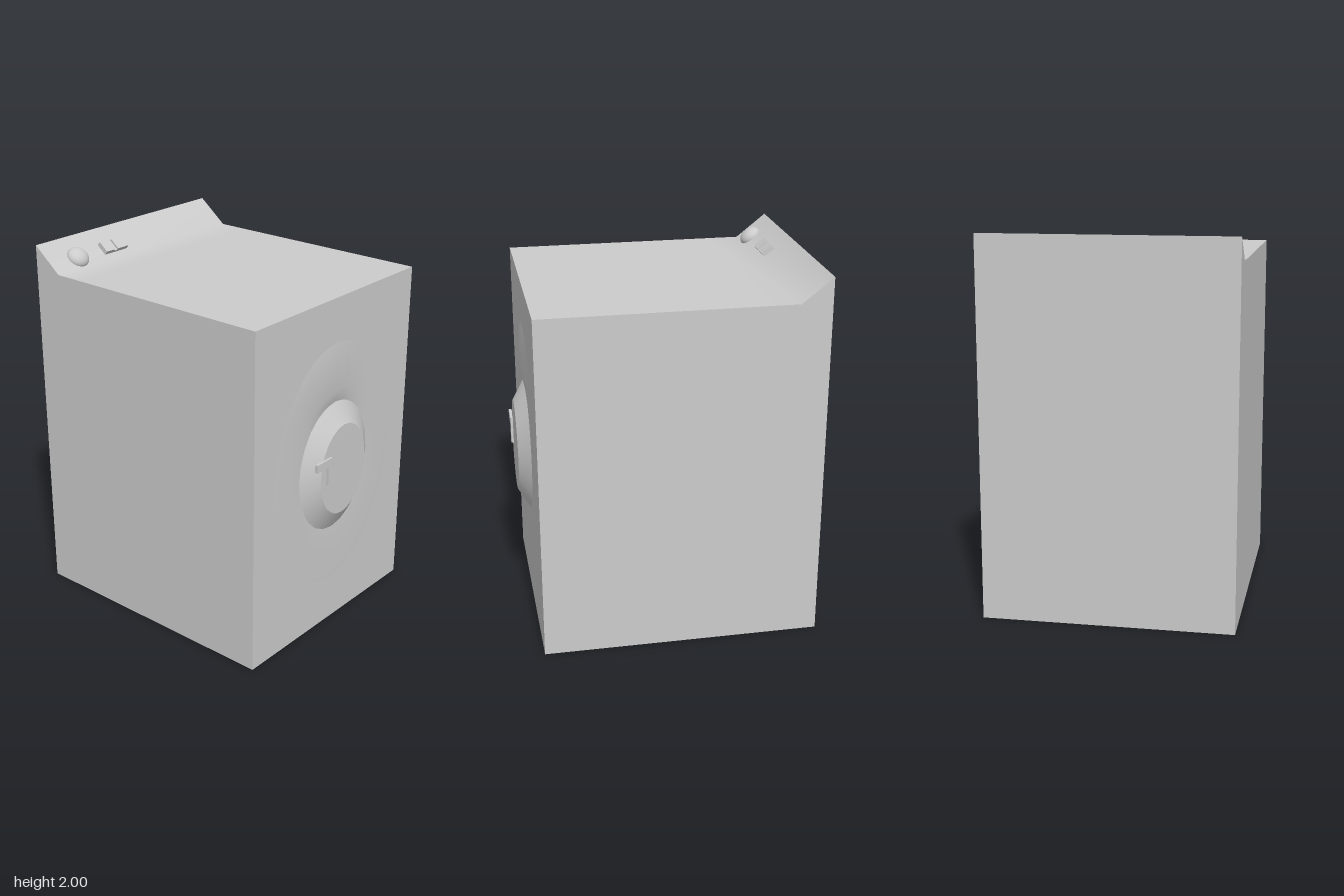
import * as THREE from 'three';
import { toCreasedNormals } from 'three/addons/utils/BufferGeometryUtils.js';

const FRONT = 0.708;
const DOOR_Y = 0.94;
const material = new THREE.MeshStandardMaterial({ color: 0xcccccc });
const panelMaterial = new THREE.MeshStandardMaterial({ color: 0xcccccc, side: THREE.DoubleSide });

function add(parent, name, geometry, x = 0, y = 0, z = 0, mat = material) {
  const mesh = new THREE.Mesh(geometry, mat);
  mesh.name = name;
  mesh.position.set(x, y, z);
  parent.add(mesh);
  return mesh;
}

// Surface through a list of loops, each loop(angle) returning [x, y, z]
function loft(loops, segments) {
  const positions = [], index = [];
  for (const loop of loops)
    for (let i = 0; i <= segments; i++) positions.push(...loop((i / segments) * Math.PI * 2));
  const row = segments + 1;
  for (let r = 0; r < loops.length - 1; r++)
    for (let i = 0; i < segments; i++) {
      const a = r * row + i, b = a + row;
      index.push(a, a + 1, b, a + 1, b + 1, b);
    }
  const geometry = new THREE.BufferGeometry();
  geometry.setAttribute('position', new THREE.Float32BufferAttribute(positions, 3));
  geometry.setIndex(index);
  return toCreasedNormals(geometry, 0.7);
}

const ellipse = (rx, ry, depth) => (t) =>
  [rx * Math.sin(t), ry * Math.cos(t), typeof depth === 'function' ? depth(t) : depth];

export function createModel() {
  const model = new THREE.Group();
  model.name = 'washingMachine';

  // Cabinet: side profile (z, y) swept across the width, blending into the control panel
  const profile = [[FRONT, 0], [FRONT, 1.87], [-0.45, 1.87], [-0.62, 1.87], [-0.784, 2], [-0.784, 0]];
  const shape = new THREE.Shape(profile.map(([z, y]) => new THREE.Vector2(-z, y)));
  const cabinet = new THREE.ExtrudeGeometry(shape, { depth: 1.32, bevelEnabled: false });
  cabinet.translate(0, 0, -0.66);
  cabinet.rotateY(Math.PI / 2);
  add(model, 'cabinet', toCreasedNormals(cabinet, 0.75));

  // Shallow swelling of the front panel, highest above the door
  const swell = (t) => 0.003 + 0.021 * Math.max(0, Math.cos(t + 0.12)) ** 8;
  add(model, 'frontSwelling', loft([
    ellipse(0.295, 0.365, 0),
    ellipse(0.36, 0.44, swell),
    ellipse(0.5, 0.69, 0),
  ], 32), 0, DOOR_Y, FRONT, panelMaterial);

  // Door: sloping oval rim with a flat centre
  const door = new THREE.Group();
  door.name = 'door';
  door.position.set(0, DOOR_Y, FRONT);
  model.add(door);
  add(door, 'doorRim', loft([ellipse(0.195, 0.255, 0.063), ellipse(0.295, 0.365, 0)], 24),
    0, 0, 0, panelMaterial);
  const cap = new THREE.CircleGeometry(1, 24, Math.PI / 2);
  cap.scale(0.195, 0.255, 1);
  add(door, 'doorCentre', cap, 0, 0, 0.063);

  // L-shaped door handle
  const handle = new THREE.Shape([[-0.243, 0.065], [-0.147, 0.065], [-0.147, -0.04],
    [-0.115, -0.04], [-0.115, 0.11], [-0.243, 0.11]].map(([x, y]) => new THREE.Vector2(x, y)));
  add(door, 'doorHandle', new THREE.ExtrudeGeometry(handle, { depth: 0.016, bevelEnabled: false }), 0, 0, 0.06);

  // Controls lie on the tilted panel: local y is the panel normal
  const controls = new THREE.Group();
  controls.name = 'controls';
  controls.position.set(0, 1.906, -0.665);
  controls.rotation.x = Math.atan2(0.13, 0.164);
  model.add(controls);

  // Round dial with a domed top
  const dome = new THREE.SphereGeometry(0.062, 20, 8, 0, Math.PI * 2, 0, Math.PI / 2);
  dome.scale(1, 0.7, 1);
  add(controls, 'dialDome', dome, -0.485, 0.016, 0);
  const base = new THREE.CircleGeometry(0.062, 20);
  base.rotateX(Math.PI / 2);
  add(controls, 'dialBase', base, -0.485, 0.016, 0);
  add(controls, 'dialStem', new THREE.CylinderGeometry(0.02, 0.02, 0.03, 12), -0.485, 0.004, 0);

  // Double rocker switch
  add(controls, 'switchBase', new THREE.BoxGeometry(0.165, 0.014, 0.07), -0.213, 0.01, -0.01);
  for (const [x, width] of [[-0.265, 0.06], [-0.17, 0.08]])
    add(controls, 'switchButton', new THREE.BoxGeometry(width, 0.012, 0.07), x, 0.022, -0.01);

  return model;
}
